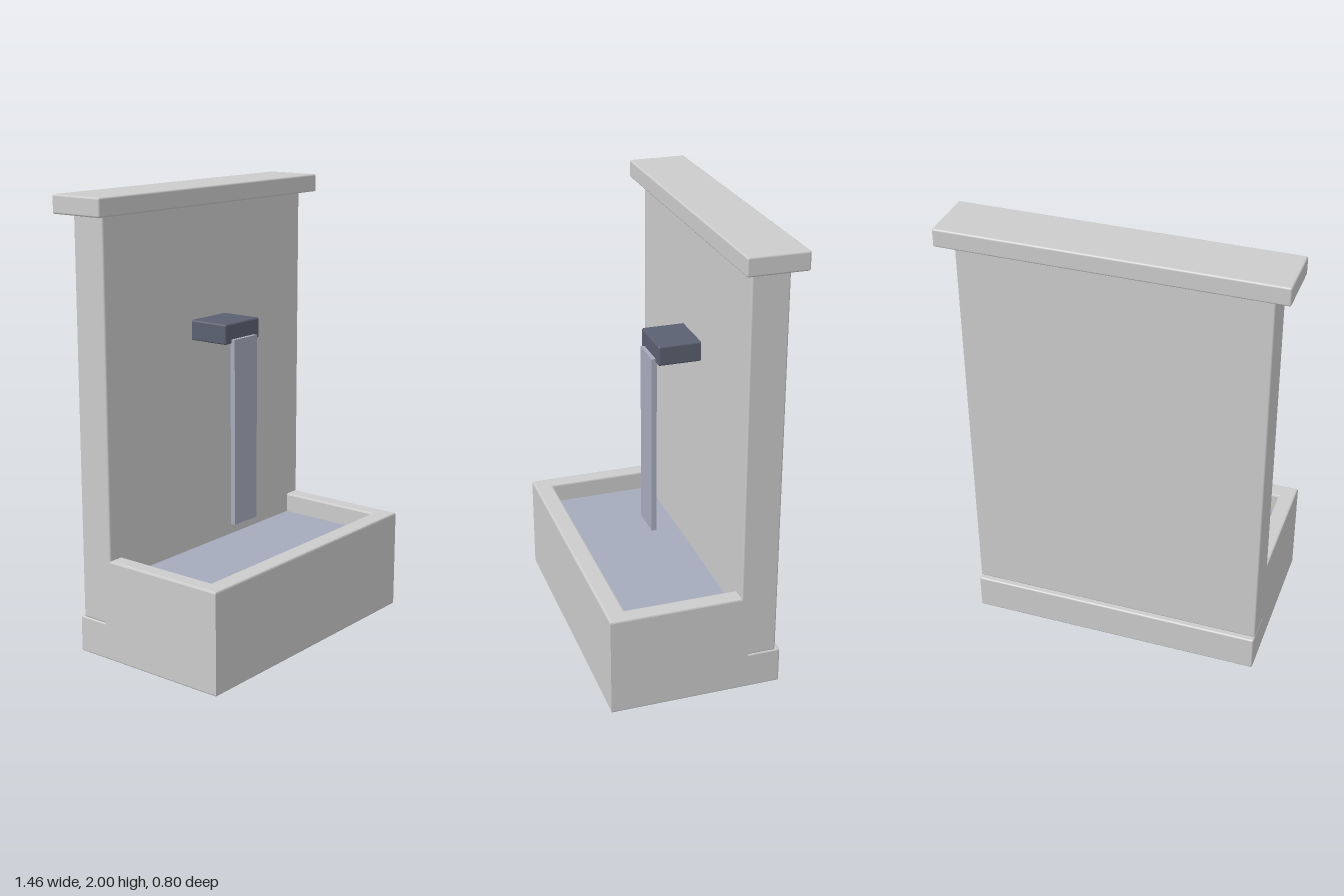
import * as THREE from 'three';
import { RoundedBoxGeometry } from 'three/addons/geometries/RoundedBoxGeometry.js';

const BEVEL = 0.008;
const stone = new THREE.MeshStandardMaterial({ color: 0xcccccc });
const metal = new THREE.MeshStandardMaterial({ color: 0x5a6070 });
const water = new THREE.MeshStandardMaterial({ color: 0xa6abbd });

// Box given by its extents, with softened edges when radius > 0
function block(name, material, [x0, x1], [y0, y1], [z0, z1], radius = BEVEL) {
  const size = [x1 - x0, y1 - y0, z1 - z0];
  const geometry = radius > 0
    ? new RoundedBoxGeometry(...size, 2, radius)
    : new THREE.BoxGeometry(...size);
  const mesh = new THREE.Mesh(geometry, material);
  mesh.name = name;
  mesh.position.set((x0 + x1) / 2, (y0 + y1) / 2, (z0 + z1) / 2);
  return mesh;
}

// Corner points of a rectangle in plan; shape y is -z
const rectangle = (halfWidth, zBack, zFront) => [
  new THREE.Vector2(-halfWidth, -zFront),
  new THREE.Vector2(halfWidth, -zFront),
  new THREE.Vector2(halfWidth, -zBack),
  new THREE.Vector2(-halfWidth, -zBack),
];

// Open trough: rectangular ring with bevelled rims
function createBasin(height) {
  const plan = new THREE.Shape(rectangle(0.663, -0.22, 0.398));
  plan.holes.push(new THREE.Path(rectangle(0.588, -0.2, 0.314).reverse()));
  const geometry = new THREE.ExtrudeGeometry(plan, {
    depth: height - 2 * BEVEL,
    bevelEnabled: true,
    bevelThickness: BEVEL,
    bevelSize: BEVEL,
    bevelOffset: -BEVEL,
    bevelSegments: 2,
  });
  geometry.rotateX(-Math.PI / 2).translate(0, BEVEL, 0);
  const mesh = new THREE.Mesh(geometry, stone);
  mesh.name = 'basin';
  return mesh;
}

export function createModel() {
  const fountain = new THREE.Group();
  fountain.name = 'wallFountain';
  const width = [-0.663, 0.663];

  fountain.add(
    // Stonework
    block('plinth', stone, width, [0, 0.165], [-0.37, 0.37]),
    block('backWall', stone, width, [0.165, 1.93], [-0.347, -0.184]),
    block('capstone', stone, [-0.732, 0.732], [1.92, 2], [-0.398, -0.135]),
    createBasin(0.455),
    // Spout and water
    block('spout', metal, [-0.118, 0.118], [1.33, 1.42], [-0.21, 0.007]),
    block('fallingWater', water, [-0.078, 0.078], [0.51, 1.35], [0.002, 0.025], 0),
    block('basinWater', water, [-0.59, 0.59], [0.15, 0.365], [-0.2, 0.316], 0),
  );
  return fountain;
}
